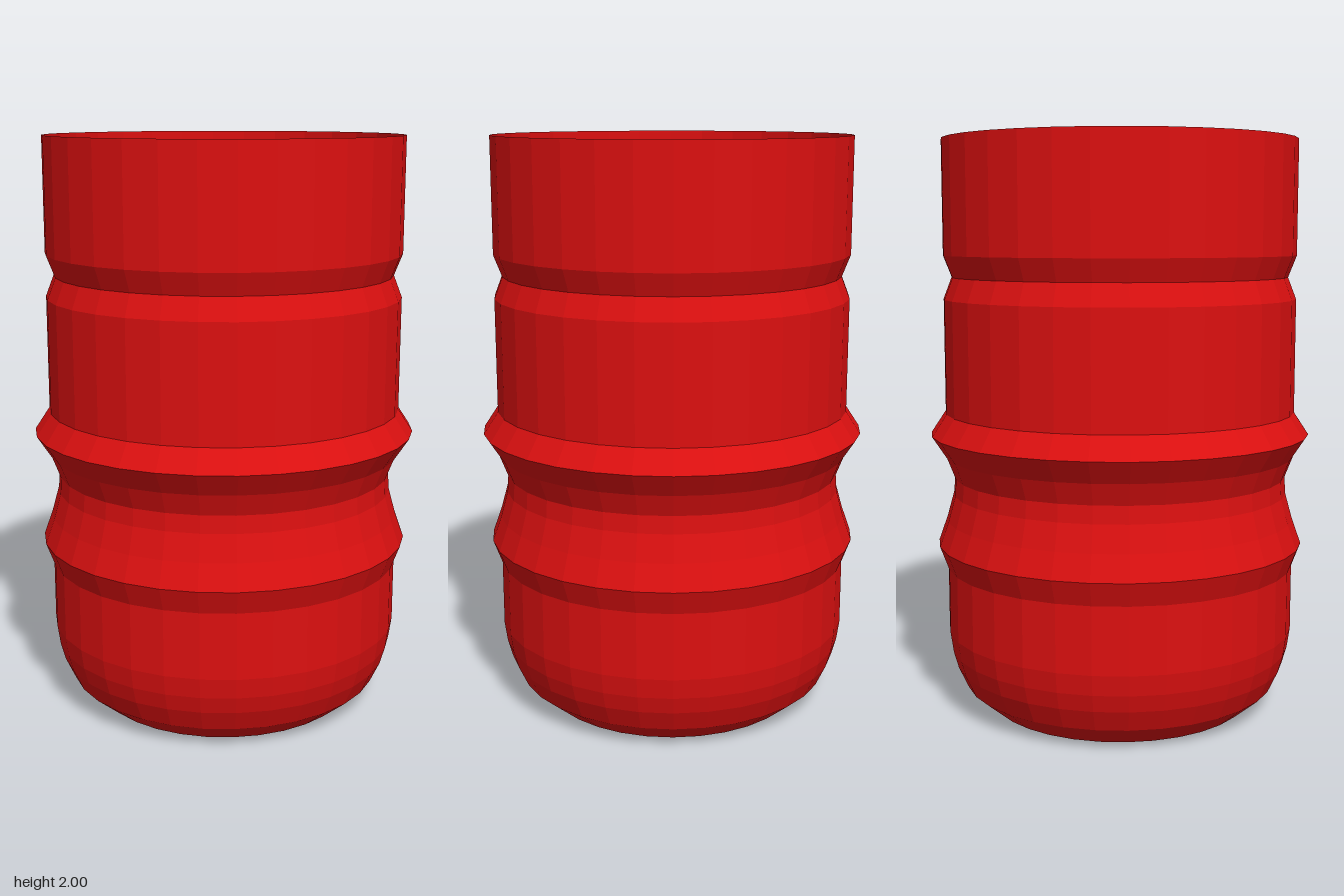
import * as THREE from 'three';

export function createModel() {
  const group = new THREE.Group();
  group.name = 'ribbedCup';

  // Thin wall profile from the centre of the base to the open rim: [radius, height]
  const profile = [
    [0, 0], [0.465, 0],                                     // flat base
    [0.555, 0.075], [0.59, 0.15], [0.607, 0.21], [0.617, 0.28], // rounded foot
    [0.617, 0.51], [0.648, 0.593], [0.617, 0.68],           // lower rib
    [0.592, 0.77], [0.588, 0.83], [0.617, 0.905],           // waist
    [0.668, 0.983], [0.617, 1.06],                          // upper rib
    [0.617, 1.455], [0.588, 1.53], [0.617, 1.605],          // groove
    [0.617, 2],                                             // open rim
  ].map(([r, y]) => new THREE.Vector2(r, y));

  const material = new THREE.MeshStandardMaterial({
    color: 0xdd1010,
    flatShading: true,
    side: THREE.DoubleSide,
  });
  const cup = new THREE.Mesh(new THREE.LatheGeometry(profile, 32), material);
  cup.name = 'cupShell';
  group.add(cup);
  return group;
}
